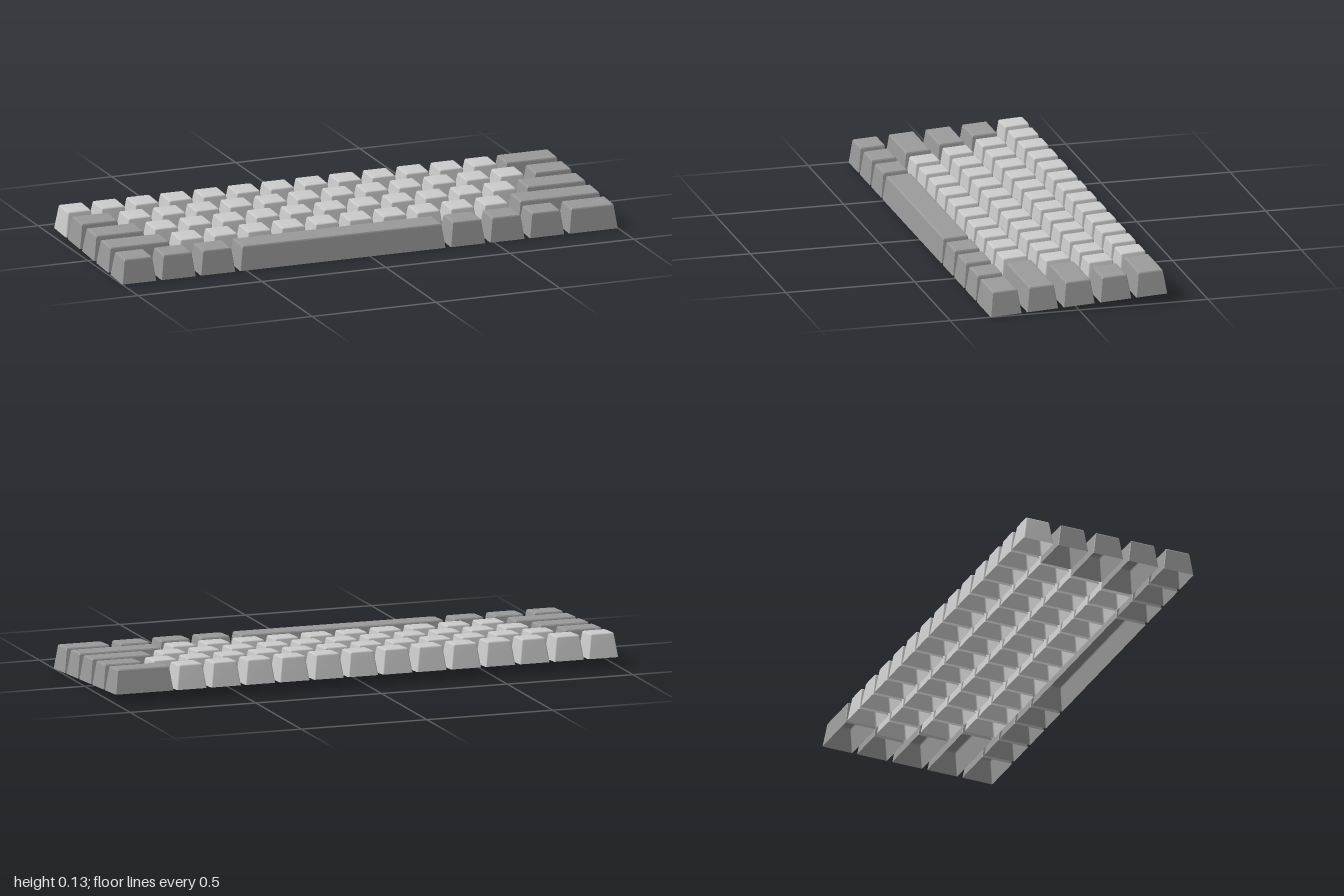
import * as THREE from 'three';

const PITCH = 0.1364, LIGHT_W = 0.12, DEPTH = 0.121, HEIGHT = 0.093;

const lightMat = new THREE.MeshStandardMaterial({ color: 0xcccccc, side: THREE.DoubleSide });
const darkMat = new THREE.MeshStandardMaterial({ color: 0x9a9a9a, side: THREE.DoubleSide, flatShading: true });

// Counter-clockwise (seen from above) rectangle with rounded corners
function outline(w, d, r, segs) {
  const pts = [];
  for (let c = 0; c < 4; c++) {
    const sx = c === 0 || c === 3 ? 1 : -1, sz = c < 2 ? 1 : -1;
    for (let i = 0; i <= segs; i++) {
      const a = (c + i / segs) * Math.PI / 2;
      pts.push([sx * (w / 2 - r) + r * Math.cos(a), sz * (d / 2 - r) + r * Math.sin(a)]);
    }
  }
  return pts;
}

// Hollow tapered keycap, open underneath, with a bevelled top edge
function keycapGeometry(w, segs, r) {
  // height, inset per side, corner radius, backward shift of each loop
  const loops = [
    [0, 0, r, 0],
    [HEIGHT - 0.006, 0.0125, r, -0.003],
    [HEIGHT - 0.0015, 0.0145, r, -0.003],
    [HEIGHT, 0.019, r, -0.003],
  ];
  const pos = [], idx = [], n = 4 * (segs + 1);
  for (const [y, inset, rad, shift] of loops) {
    for (const [x, z] of outline(w - 2 * inset, DEPTH - 2 * inset, rad, segs)) pos.push(x, y, z + shift);
  }
  for (let l = 0; l < loops.length - 1; l++) {
    for (let i = 0; i < n; i++) {
      const a = l * n + i, b = l * n + (i + 1) % n;
      idx.push(a, a + n, b, b, a + n, b + n);
    }
  }
  // top face
  const centre = pos.length / 3, last = (loops.length - 1) * n;
  pos.push(0, HEIGHT, -0.003);
  for (let i = 0; i < n; i++) idx.push(last + i, centre, last + (i + 1) % n);
  const g = new THREE.BufferGeometry();
  g.setAttribute('position', new THREE.Float32BufferAttribute(pos, 3));
  g.setIndex(idx);
  g.computeVertexNormals();
  return g;
}

export function createModel() {
  const model = new THREE.Group();
  model.name = 'keyboardKeys';
  const lightGeo = keycapGeometry(LIGHT_W, 3, 0.006);

  // Rows from back to front: dark keys as [left, right], light keys as start and count
  const rows = [
    { name: 'numberRow', z: -0.283, dark: [[0.77, 1]], start: -1, count: 13 },
    { name: 'upperRow', z: -0.143, dark: [[-1, -0.83], [0.83, 1]], start: -0.812, count: 12 },
    { name: 'homeRow', z: -0.001, dark: [[-1, -0.783], [0.74, 1]], start: -0.763, count: 11 },
    { name: 'lowerRow', z: 0.141, dark: [[-1, -0.737], [0.654, 1]], start: -0.717, count: 10 },
    {
      name: 'bottomRow', z: 0.283, start: 0, count: 0,
      dark: [[-1, -0.862], [-0.842, -0.703], [-0.683, -0.543], [-0.524, 0.305],
        [0.325, 0.465], [0.484, 0.624], [0.644, 0.784], [0.803, 1]],
    },
  ];

  // Whole key field slopes up towards the back
  const field = new THREE.Group();
  field.name = 'keyField';
  field.rotation.x = THREE.MathUtils.degToRad(3);
  field.position.y = 0.018;
  model.add(field);

  for (const row of rows) {
    const group = new THREE.Group();
    group.name = row.name;
    group.position.z = row.z;
    for (const [x0, x1] of row.dark) {
      const key = new THREE.Mesh(keycapGeometry(x1 - x0, 1, 0.002), darkMat);
      key.name = x1 - x0 > 0.5 ? 'spaceBar' : 'modifierKey';
      key.position.x = (x0 + x1) / 2;
      group.add(key);
    }
    for (let i = 0; i < row.count; i++) {
      const key = new THREE.Mesh(lightGeo, lightMat);
      key.name = 'characterKey';
      key.position.x = row.start + LIGHT_W / 2 + i * PITCH;
      group.add(key);
    }
    field.add(group);
  }
  return model;
}
